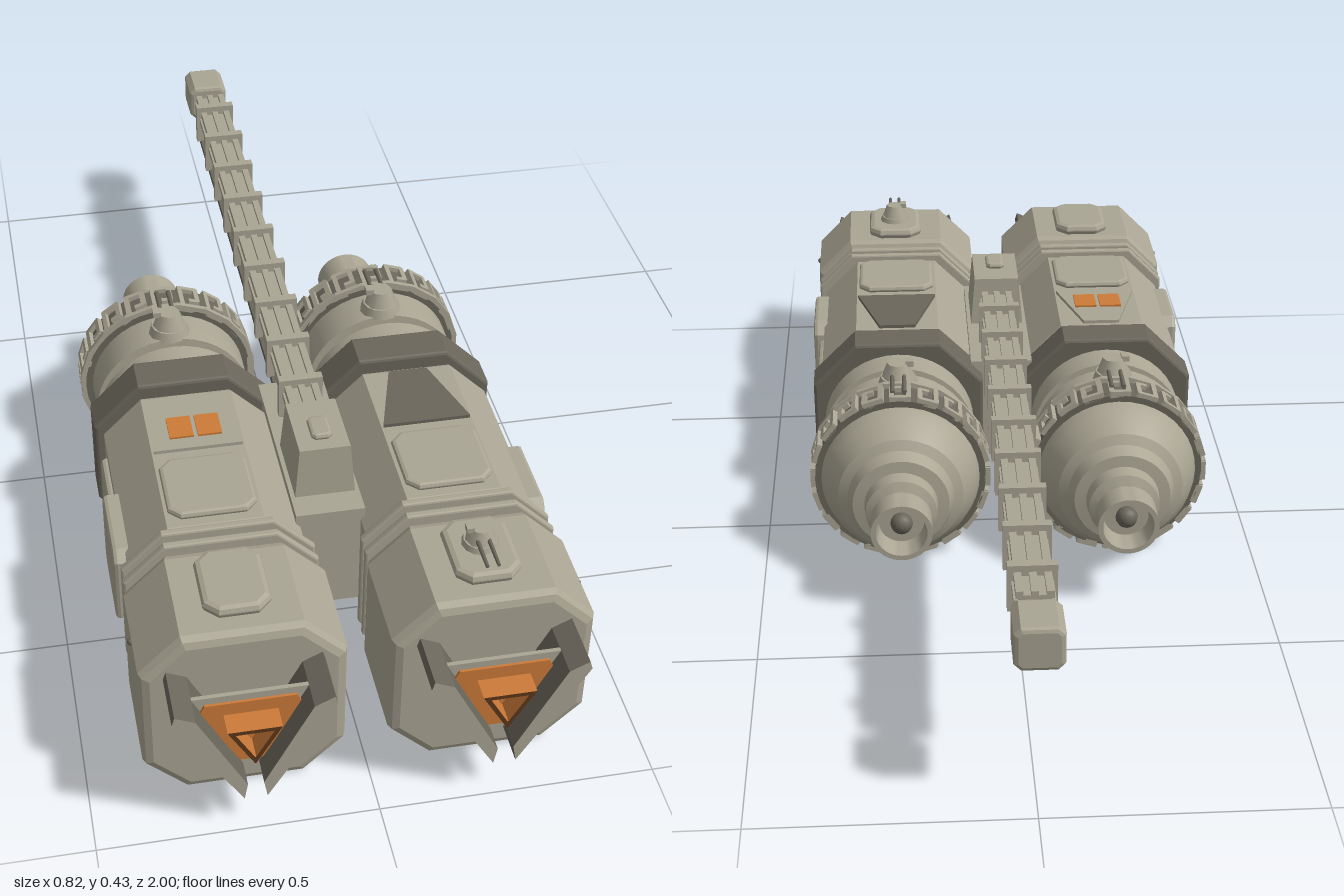
import * as THREE from 'three';
import { toCreasedNormals } from 'three/addons/utils/BufferGeometryUtils.js';

const mat = (name, color) => new THREE.MeshStandardMaterial({ name, color });
const hull = mat('hull grey', 0xaaa593);
const dark = mat('dark grey', 0x6a665b);
const orange = mat('orange', 0xcc7a38);
const rust = mat('rust brown', 0x5c3718);

const CY = 0.183; // height of the pod axis

function add(parent, name, geometry, material, x = 0, y = 0, z = 0) {
  const mesh = new THREE.Mesh(geometry, material);
  mesh.name = name;
  mesh.position.set(x, y, z);
  parent.add(mesh);
  return mesh;
}

const box = (w, h, d) => new THREE.BoxGeometry(w, h, d);
const poly = (pts) => new THREE.Shape(pts.map(([x, y]) => new THREE.Vector2(x, y)));

// Chamfered prism along z, centred, with bevelled ends
function chamferBox(w, h, cut, depth, bevel = 0) {
  const a = w / 2 - bevel, b = h / 2 - bevel, c = cut - bevel * 0.6;
  const shape = poly([[a, -b + c], [a, b - c], [a - c, b], [-a + c, b],
    [-a, b - c], [-a, -b + c], [-a + c, -b], [a - c, -b]]);
  const g = new THREE.ExtrudeGeometry(shape, {
    depth: depth - 2 * bevel, bevelEnabled: bevel > 0,
    bevelSize: bevel, bevelThickness: bevel, bevelSegments: 2,
  });
  return g.translate(0, 0, bevel - depth / 2);
}

// Raised panel facing up; w along x, l along z
const topPanel = (w, l, cut, t) => chamferBox(w, l, cut, t, t * 0.45).rotateX(-Math.PI / 2);

// Downward pointing triangle with a clipped tip
const triangle = (top, yTop, tip, yTip, clip = 0) => clip
  ? [[-tip, yTip], [tip, yTip], [top, yTop - clip], [top - clip / 2, yTop], [-top + clip / 2, yTop], [-top, yTop - clip]]
  : [[-tip, yTip], [tip, yTip], [top, yTop], [-top, yTop]];

const extrude = (pts, depth, hole) => {
  const shape = poly(pts);
  if (hole) shape.holes.push(poly(hole));
  return new THREE.ExtrudeGeometry(shape, { depth, bevelEnabled: false });
};

function snout(pod) {
  const g = new THREE.Group();
  g.name = 'snout';
  // Slanted side walls, open above and below
  const right = [[0.014, 0.115], [0.02, 0.08], [0.14, 0.285], [0.135, 0.302], [0.1, 0.285]];
  const left = right.map(([x, y]) => [-x, y]).reverse();
  for (const wall of [right, left]) add(g, 'snoutWall', extrude(wall, 0.11), [hull, dark], 0, 0, 0.89);
  add(g, 'snoutPlate', extrude(triangle(0.102, 0.285, 0.014, 0.115), 0.008), hull, 0, 0, 0.942);
  add(g, 'snoutSignal', extrude(triangle(0.088, 0.272, 0.02, 0.13, 0.018), 0.005), orange, 0, 0, 0.951);
  add(g, 'signalRim', extrude(triangle(0.047, 0.246, 0.001, 0.164), 0.042,
    triangle(0.033, 0.238, 0.001, 0.18)), [rust, orange], 0, 0, 0.956);
  pod.add(g);
}

// Ring with a raised meander pattern
function keyRing(pod) {
  const g = new THREE.Group();
  g.name = 'keyRing';
  const base = new THREE.CylinderGeometry(0.173, 0.173, 0.072, 40).rotateX(Math.PI / 2);
  add(g, 'ringBase', base, dark);
  const n = 20, w = 2 * Math.PI * 0.178 / n;
  const bars = [[0, 0.031, w * 1.04, 0.01], [-w * 0.36, 0, 0.01, 0.07], [-w * 0.05, -0.031, w * 0.7, 0.01],
    [w * 0.25, -0.01, 0.01, 0.045], [w * 0.08, 0.01, w * 0.34, 0.01]];
  for (let i = 0; i < n; i++) {
    const cell = new THREE.Group();
    cell.name = 'keyCell';
    cell.rotation.z = i * 2 * Math.PI / n;
    for (const [x, z, bw, bl] of bars) add(cell, 'keyBar', box(bw, 0.014, bl), hull, x, 0.175, z);
    g.add(cell);
  }
  g.position.set(0, CY, -0.097);
  pod.add(g);
}

// Small gun turret: base, dome, barrels and sight
function turret(pod, name, y, z, s, dir) {
  const g = new THREE.Group();
  g.name = name;
  add(g, 'turretBase', new THREE.CylinderGeometry(0.036, 0.042, 0.02, 12), hull, 0, 0.01, 0);
  add(g, 'turretHead', new THREE.CylinderGeometry(0.022, 0.034, 0.032, 8), hull, 0, 0.034, 0);
  for (const x of [-0.012, 0.012]) {
    add(g, 'barrel', new THREE.CylinderGeometry(0.004, 0.005, 0.085, 8).rotateX(Math.PI / 2), dark, x, 0.03, dir * 0.055);
  }
  add(g, 'sight', box(0.016, 0.012, 0.02), hull, -0.024, 0.05, 0);
  g.scale.setScalar(s);
  g.position.set(0, y, z);
  pod.add(g);
}

function makePod(side) {
  const pod = new THREE.Group();
  pod.name = side > 0 ? 'leftPod' : 'rightPod';
  pod.position.x = side * 0.22;

  snout(pod);
  add(pod, 'frontBlock', chamferBox(0.362, 0.364, 0.075, 0.225, 0.018), hull, 0, CY, 0.782);
  add(pod, 'neck', chamferBox(0.3, 0.3, 0.06, 0.12), dark, 0, CY, 0.63);
  for (const z of [0.612, 0.645]) add(pod, 'flange', chamferBox(0.354, 0.356, 0.075, 0.016, 0.004), hull, 0, CY, z);
  add(pod, 'midBody', chamferBox(0.326, 0.336, 0.075, 0.39, 0.008), hull, 0, CY, 0.405);
  add(pod, 'darkBand', chamferBox(0.358, 0.362, 0.09, 0.08, 0.006), dark, 0, CY, 0.153);

  // Round tail with open nozzle, turned about the pod axis
  const profile = [[0, -0.31], [0.044, -0.31], [0.05, -0.355], [0.06, -0.355], [0.06, -0.3], [0.05, -0.295],
    [0.05, -0.283], [0.07, -0.275], [0.073, -0.245], [0.096, -0.242], [0.106, -0.215], [0.125, -0.205],
    [0.15, -0.165], [0.16, -0.135], [0.158, 0.02], [0.135, 0.022], [0.135, 0.043], [0.158, 0.045],
    [0.158, 0.125], [0, 0.125]].map(([r, z]) => new THREE.Vector2(r, z));
  const tail = new THREE.LatheGeometry(profile, 40).rotateX(Math.PI / 2);
  add(pod, 'tail', toCreasedNormals(tail, 0.5), hull, 0, CY, 0);
  add(pod, 'nozzleCore', new THREE.SphereGeometry(0.022, 12, 8), dark, 0, CY, -0.315);
  keyRing(pod);

  // Roof panels
  add(pod, 'frontHatch', topPanel(0.12, 0.155, 0.025, 0.024), hull, 0, 0.374, 0.772);
  add(pod, 'roofPanel', topPanel(0.165, 0.16, 0.022, 0.016), hull, 0, 0.356, 0.495);
  const wedge = extrude([[-0.085, -0.385], [0.085, -0.385], [0.038, -0.225], [-0.038, -0.225]], 0.008);
  add(pod, 'roofWedge', wedge.rotateX(-Math.PI / 2), side > 0 ? dark : hull, 0, 0.35, 0);
  if (side < 0) {
    for (const x of [-0.027, 0.027]) add(pod, 'window', box(0.046, 0.006, 0.06), orange, x, 0.359, 0.325);
  }

  // Outer side panels
  const plate = (l, h, t) => chamferBox(l, h, 0.02, t, 0.008).rotateY(side * Math.PI / 2);
  add(pod, 'sidePanel', plate(0.19, 0.175, 0.04), hull, side * 0.167, 0.195, 0.48);
  add(pod, 'sideLowerPanel', plate(0.33, 0.14, 0.02), hull, side * 0.165, 0.18, 0.405);
  add(pod, 'sideStud', new THREE.SphereGeometry(0.007, 8, 6), dark, side * 0.181, 0.275, 0.785);

  turret(pod, 'rearTurret', 0.335, -0.015, 1, -1);
  if (side > 0) turret(pod, 'frontTurret', 0.38, 0.765, 0.85, 1);
  return pod;
}

function makeSpine() {
  const g = new THREE.Group();
  g.name = 'spine';
  add(g, 'spineCore', box(0.056, 0.072, 1.23), hull, 0, 0.334, -0.265);
  for (const x of [-0.026, 0, 0.026]) add(g, 'spineRail', box(0.013, 0.014, 1.23), hull, x, 0.371, -0.265);
  for (const x of [-0.03, 0.03]) add(g, 'sideRail', box(0.012, 0.012, 1.23), hull, x, 0.355, -0.265);
  add(g, 'lowerRail', box(0.07, 0.014, 1.23), dark, 0, 0.295, -0.265);
  for (let i = 0; i < 9; i++) add(g, 'rib', box(0.086, 0.09, 0.018), hull, 0, 0.345, 0.25 - i * 0.1325);
  add(g, 'endBlock', chamferBox(0.086, 0.082, 0.012, 0.095, 0.008), hull, 0, 0.341, -0.9525);
  add(g, 'endPin', box(0.03, 0.03, 0.06), dark, 0, 0.34, -0.89);
  return g;
}

function makeConnector() {
  const g = new THREE.Group();
  g.name = 'connector';
  add(g, 'connectorBlock', box(0.13, 0.225, 0.4), hull, 0, 0.19, 0.35);
  add(g, 'connectorPlate', box(0.1, 0.012, 0.22), dark, 0, 0.076, 0.36);
  // Tapered housing on top
  const housing = box(0.114, 0.107, 0.155);
  const p = housing.attributes.position;
  for (let i = 0; i < p.count; i++) {
    if (p.getY(i) > 0) p.setXYZ(i, p.getX(i) * 0.84, p.getY(i), p.getZ(i) * 0.92);
  }
  housing.computeVertexNormals();
  add(g, 'housing', housing, hull, 0, 0.353, 0.42);
  add(g, 'housingCap', topPanel(0.04, 0.06, 0.008, 0.014), hull, 0, 0.411, 0.435);
  return g;
}

export function createModel() {
  const model = new THREE.Group();
  model.name = 'spaceship';
  model.add(makePod(1), makePod(-1), makeSpine(), makeConnector());
  return model;
}
